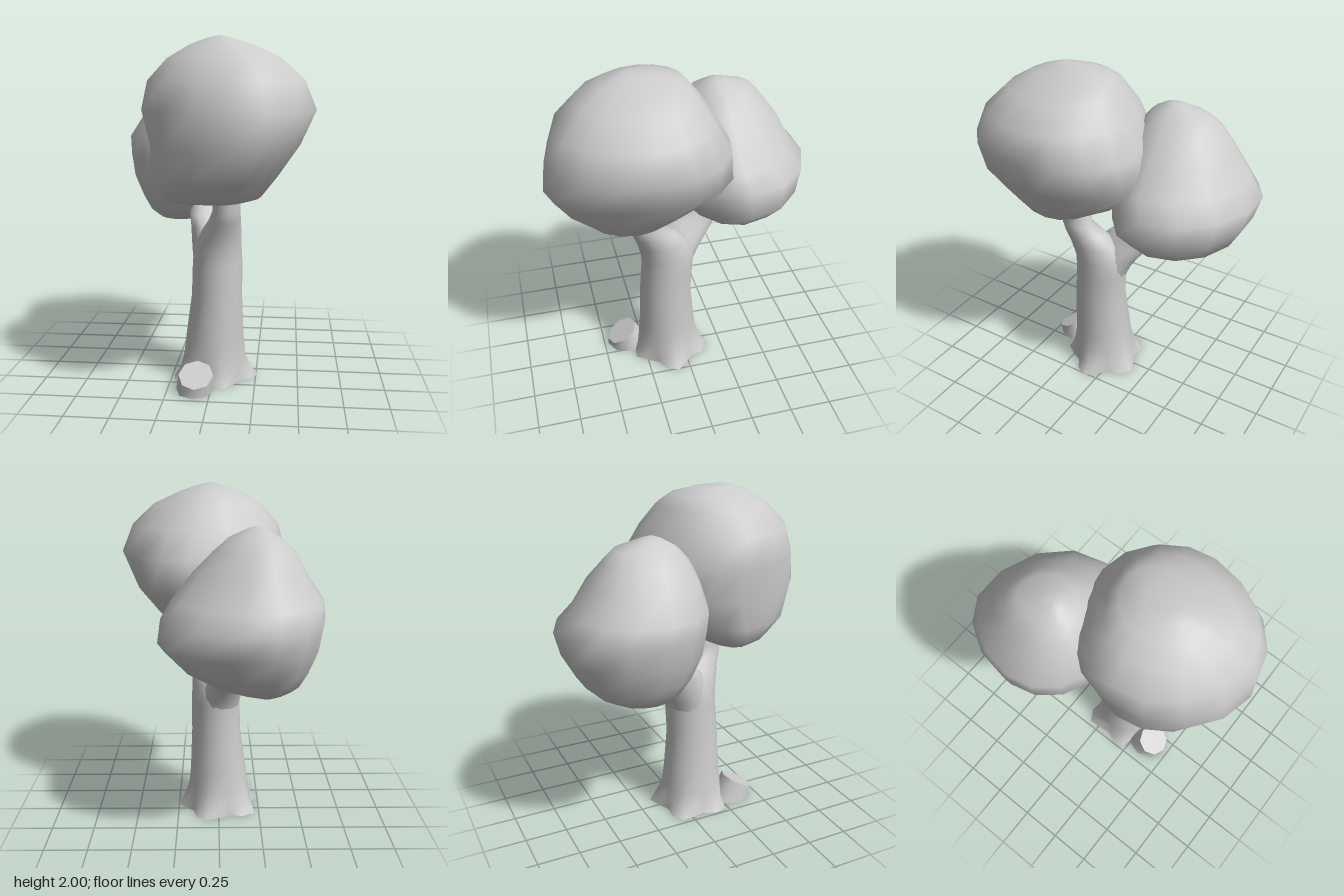
import * as THREE from 'three';

const material = new THREE.MeshStandardMaterial({ color: 0xcccccc, side: THREE.DoubleSide });

// Joins closed rings of points (bottom to top); caps are optional end points.
function skin(rings, bottom, top) {
  const n = rings[0].length;
  const points = rings.flat();
  const index = [];
  for (let r = 0; r < rings.length - 1; r++) {
    for (let i = 0; i < n; i++) {
      const a = r * n + i, b = r * n + (i + 1) % n;
      index.push(a, a + n, b, b, a + n, b + n);
    }
  }
  if (bottom) {
    const c = points.push(bottom) - 1;
    for (let i = 0; i < n; i++) index.push(c, i, (i + 1) % n);
  }
  if (top) {
    const c = points.push(top) - 1, s = (rings.length - 1) * n;
    for (let i = 0; i < n; i++) index.push(s + i, c, s + (i + 1) % n);
  }
  const g = new THREE.BufferGeometry();
  g.setAttribute('position', new THREE.Float32BufferAttribute(points.flat(), 3));
  g.setIndex(index);
  g.computeVertexNormals();
  return g;
}

// Level ring made of four quarter ellipses that meet the given extents.
// fx and fz place the widest points between the extents.
function ring([y, x0, x1, z0, z1], sides, fx = 0.5, fz = 0.5, swell = () => 1) {
  const cx = x0 + (x1 - x0) * fx, cz = z0 + (z1 - z0) * fz;
  return Array.from({ length: sides }, (_, i) => {
    const a = (i / sides) * Math.PI * 2;
    const c = Math.cos(a) * swell(a), s = Math.sin(a) * swell(a);
    return [cx + c * (c > 0 ? x1 - cx : cx - x0), y, cz + s * (s > 0 ? z1 - cz : cz - z0)];
  });
}

function add(group, name, geometry) {
  const mesh = new THREE.Mesh(geometry, material);
  mesh.name = name;
  group.add(mesh);
}

export function createModel() {
  const tree = new THREE.Group();
  tree.name = 'tree';

  // Large front crown: y, then x and z extents of each level
  const front = [
    [1.08, -0.1, 0.13, 0.18, 0.34], [1.1, -0.25, 0.2, 0.15, 0.45],
    [1.13, -0.28, 0.28, 0.09, 0.57], [1.24, -0.35, 0.37, -0.09, 0.69],
    [1.41, -0.35, 0.49, -0.26, 0.79], [1.6, -0.4, 0.575, -0.23, 0.77],
    [1.76, -0.36, 0.51, -0.14, 0.71], [1.88, -0.25, 0.38, -0.06, 0.59],
    [1.95, -0.13, 0.23, 0, 0.47], [1.985, -0.03, 0.12, 0.13, 0.37],
  ];
  add(tree, 'frontCrown', skin(front.map((l) => ring(l, 16, 0.58, 0.45)), [0.04, 1.08, 0.26], [0.05, 2, 0.3]));

  // Smaller back crown with a pointed top
  const back = [
    [0.875, -0.31, -0.2, -0.42, -0.3], [0.9, -0.38, -0.08, -0.48, -0.18],
    [0.95, -0.45, 0.05, -0.58, -0.12], [1.04, -0.5, 0.21, -0.68, -0.04],
    [1.17, -0.555, 0.34, -0.75, 0.02], [1.31, -0.575, 0.32, -0.79, 0.04],
    [1.41, -0.57, 0.26, -0.7, 0.04], [1.56, -0.47, 0.14, -0.62, 0],
    [1.67, -0.41, 0.03, -0.53, -0.06], [1.74, -0.33, -0.05, -0.46, -0.12],
    [1.785, -0.25, -0.15, -0.32, -0.2],
  ];
  add(tree, 'backCrown', skin(back.map((l) => ring(l, 14, 0.4, 0.55)), [-0.26, 0.875, -0.36], [-0.2, 1.8, -0.25]));

  // Trunk with flared roots, running on into the front branch
  const trunk = [
    [0, -0.27, 0.26, -0.17, 0.33], [0.06, -0.22, 0.215, -0.13, 0.3],
    [0.14, -0.19, 0.185, -0.095, 0.285], [0.25, -0.17, 0.175, -0.08, 0.27],
    [0.5, -0.135, 0.165, -0.055, 0.265], [0.7, -0.13, 0.165, -0.065, 0.25],
    [0.8, -0.12, 0.16, -0.07, 0.255], [0.9, -0.07, 0.16, -0.02, 0.28],
    [0.97, -0.025, 0.16, 0.05, 0.305], [1.03, 0, 0.16, 0.13, 0.315],
    [1.2, 0, 0.16, 0.15, 0.32],
  ];
  const rootWave = [0.13, 0.07, 0.02];
  add(tree, 'trunk', skin(trunk.map((l, k) => ring(l, 20, 0.5, 0.5,
    (a) => 1 + (rootWave[k] ?? 0) * (Math.cos(5 * a - 0.3) - 0.9)))));

  // Back branch of the fork
  const branch = [
    [0.68, -0.125, 0.14, -0.06, 0.2], [0.74, -0.135, 0.12, -0.085, 0.19],
    [0.82, -0.145, 0.09, -0.135, 0.16], [0.9, -0.155, 0.05, -0.2, 0.13],
    [0.965, -0.17, 0.01, -0.25, 0.06], [1.01, -0.17, 0, -0.28, -0.05],
    [1.1, -0.18, -0.02, -0.33, -0.12],
  ];
  add(tree, 'backBranch', skin(branch.map((l) => ring(l, 14))));

  // Cut root stub: sides, then a flat slanted cut face
  const foot = ring([0, -0.2, 0.02, 0.2, 0.475], 8);
  const rim = ring([0, -0.18, 0.02, 0.29, 0.475], 8)
    .map(([x, , z]) => [x, 0.055 + (0.475 - z) * 0.54, z]);
  add(tree, 'rootStub', skin([foot, rim]));
  add(tree, 'rootCutFace', skin([rim], null, [-0.08, 0.105, 0.3825]));

  return tree;
}
